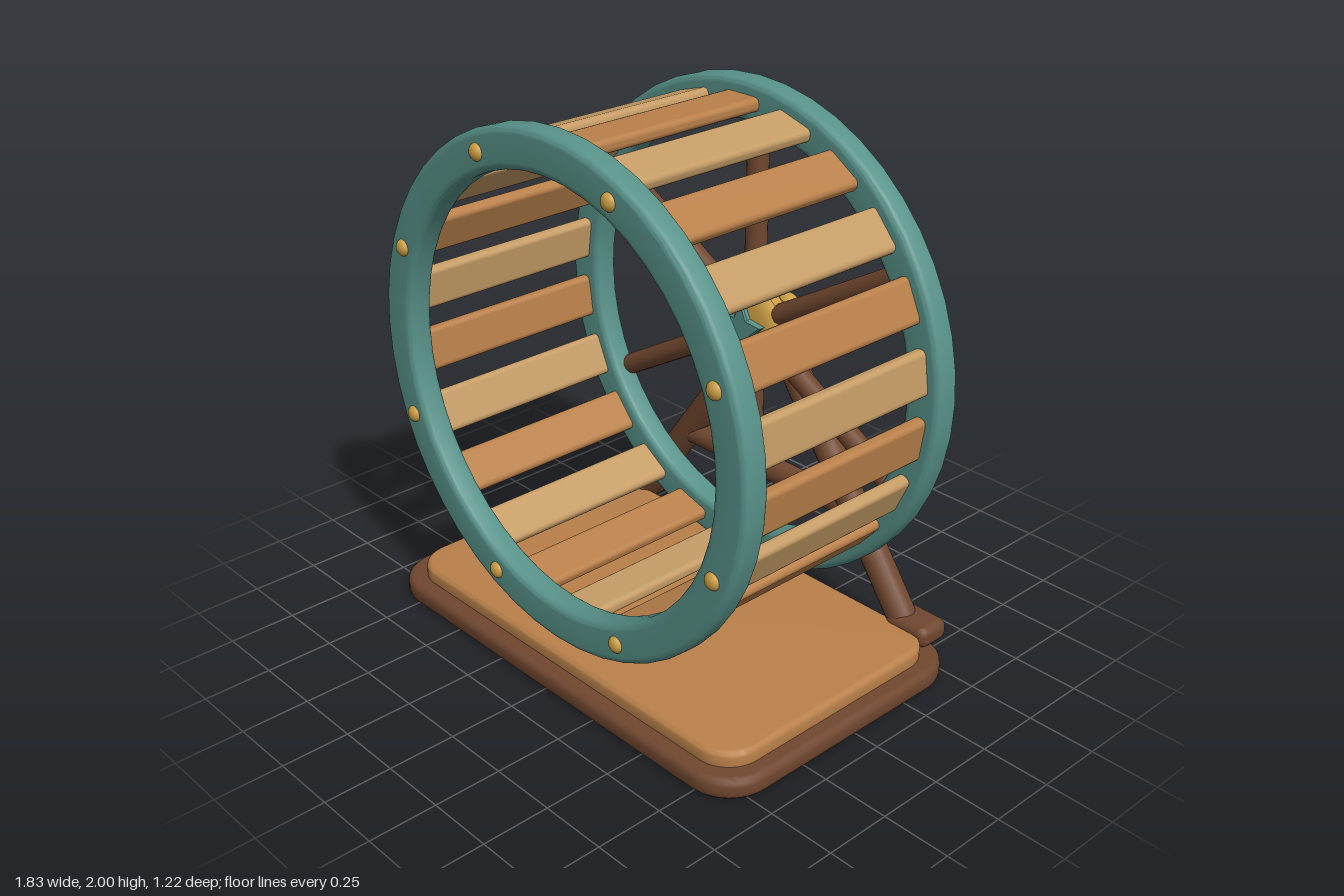
import * as THREE from 'three';
import { toCreasedNormals } from 'three/addons/utils/BufferGeometryUtils.js';
import { RoundedBoxGeometry } from 'three/addons/geometries/RoundedBoxGeometry.js';

const paint = (color) => new THREE.MeshStandardMaterial({ color });
const teal = paint(0x589289), brown = paint(0x70472f), orange = paint(0xb9804a),
  tan = paint(0xc59c66), gold = paint(0xc99c42);

const CENTRE_Y = 1.09;
const BACK_Z = -0.4; // plane of the spokes

function add(parent, name, geometry, material, x = 0, y = 0, z = 0) {
  const mesh = new THREE.Mesh(geometry, material);
  mesh.name = name;
  mesh.position.set(x, y, z);
  parent.add(mesh);
  return mesh;
}

// Round bar between two points
function rod(parent, name, a, b, radius, material) {
  const from = new THREE.Vector3(...a), to = new THREE.Vector3(...b);
  const dir = to.clone().sub(from);
  const mesh = add(parent, name, new THREE.CylinderGeometry(radius, radius, dir.length(), 16), material);
  mesh.position.copy(from).add(to).multiplyScalar(0.5);
  mesh.quaternion.setFromUnitVectors(new THREE.Vector3(0, 1, 0), dir.normalize());
  return mesh;
}

// Rectangle with rounded corners, counter-clockwise
function roundedRect(x0, y0, x1, y1, r) {
  const s = new THREE.Shape();
  s.moveTo(x1, y0 + r);
  s.lineTo(x1, y1 - r);
  s.absarc(x1 - r, y1 - r, r, 0, Math.PI / 2);
  s.absarc(x0 + r, y1 - r, r, Math.PI / 2, Math.PI);
  s.absarc(x0 + r, y0 + r, r, Math.PI, Math.PI * 1.5);
  s.absarc(x1 - r, y0 + r, r, Math.PI * 1.5, Math.PI * 2);
  return s;
}

// Flat board with rounded corners and softened edges
function board(halfX, halfZ, height, corner, bevel) {
  const shape = roundedRect(-halfX + bevel, -halfZ + bevel, halfX - bevel, halfZ - bevel, corner - bevel);
  const g = new THREE.ExtrudeGeometry(shape, {
    depth: height - 2 * bevel, bevelThickness: bevel, bevelSize: bevel, bevelSegments: 3, curveSegments: 6,
  });
  g.translate(0, 0, bevel);
  g.rotateX(-Math.PI / 2);
  return toCreasedNormals(g, 0.7);
}

// Turned part whose axis runs along z
function turned(points, segments) {
  const g = new THREE.LatheGeometry(points, segments);
  g.rotateX(Math.PI / 2);
  return toCreasedNormals(g, 0.6);
}

export function createModel() {
  const model = new THREE.Group();
  model.name = 'exerciseWheel';

  // Two-layer base
  const base = new THREE.Group();
  base.name = 'base';
  model.add(base);
  add(base, 'basePlinth', board(0.915, 0.572, 0.078, 0.17, 0.025), brown, 0, 0, 0.04);
  add(base, 'baseTop', board(0.85, 0.51, 0.08, 0.13, 0.02), orange, 0, 0.052, 0.04);

  const wheel = new THREE.Group();
  wheel.name = 'wheel';
  wheel.position.y = CENTRE_Y;
  model.add(wheel);

  // Rims
  const section = roundedRect(0.765, -0.05, 0.91, 0.05, 0.028).getPoints(4);
  section.push(section[0].clone());
  const rim = turned(section, 48);
  add(wheel, 'frontRim', rim, teal, 0, 0, 0.5);
  add(wheel, 'backRim', rim, teal, 0, 0, -0.366);

  // Running slats in alternating wood
  const slat = new RoundedBoxGeometry(0.16, 0.05, 0.86, 2, 0.02);
  for (let i = 0; i < 22; i++) {
    const a = (i / 22) * Math.PI * 2;
    const m = add(wheel, 'slat', slat, i % 2 ? tan : orange, -Math.sin(a) * 0.835, Math.cos(a) * 0.835, 0.067);
    m.rotation.z = a;
  }

  // Studs on the front rim
  const stud = new THREE.SphereGeometry(0.031, 14, 10);
  for (let i = 0; i < 8; i++) {
    const a = ((i + 0.5) / 8) * Math.PI * 2;
    add(wheel, 'stud', stud, gold, Math.cos(a) * 0.835, Math.sin(a) * 0.835, 0.548).scale.z = 0.75;
  }

  // Spokes
  for (let i = 0; i < 6; i++) {
    const a = Math.PI / 2 + (i * Math.PI) / 3, c = Math.cos(a), s = Math.sin(a);
    rod(wheel, 'spoke', [c * 0.08, s * 0.08, BACK_Z], [c * 0.8, s * 0.8, BACK_Z], 0.04, brown);
  }

  // Hub with star
  const hub = [[0, -0.055], [0.11, -0.055], [0.142, -0.042], [0.16, -0.02],
    [0.16, 0.02], [0.142, 0.042], [0.11, 0.055], [0, 0.055]].map((p) => new THREE.Vector2(...p));
  add(wheel, 'hub', turned(hub, 24), gold, 0, 0, BACK_Z);
  const star = new THREE.Shape(Array.from({ length: 10 }, (_, i) => {
    const a = Math.PI / 2 + (i * Math.PI) / 5, r = i % 2 ? 0.046 : 0.1;
    return new THREE.Vector2(Math.cos(a) * r, Math.sin(a) * r);
  }));
  add(wheel, 'hubStar', new THREE.ExtrudeGeometry(star, {
    depth: 0.025, bevelThickness: 0.006, bevelSize: 0.006, bevelSegments: 1,
  }), teal, 0, 0, BACK_Z + 0.045);

  // Axle and its end cap
  rod(wheel, 'axle', [0, 0, -0.43], [0, 0, -0.56], 0.055, brown);
  add(wheel, 'axleCap', new THREE.SphereGeometry(0.076, 20, 14), gold, 0, 0, -0.563).scale.z = 0.62;

  // Rear stand
  const stand = new THREE.Group();
  stand.name = 'stand';
  model.add(stand);
  const foot = new RoundedBoxGeometry(0.19, 0.085, 0.14, 2, 0.035);
  for (const side of [-1, 1]) {
    rod(stand, 'standLeg', [0, CENTRE_Y - 0.01, -0.495], [side * 0.7, 0.1, -0.495], 0.055, brown);
    add(stand, 'standFoot', foot, brown, side * 0.73, 0.122, -0.505);
  }
  rod(stand, 'crossbar', [-0.44, 0.475, -0.495], [0.44, 0.475, -0.495], 0.047, brown);

  return model;
}
